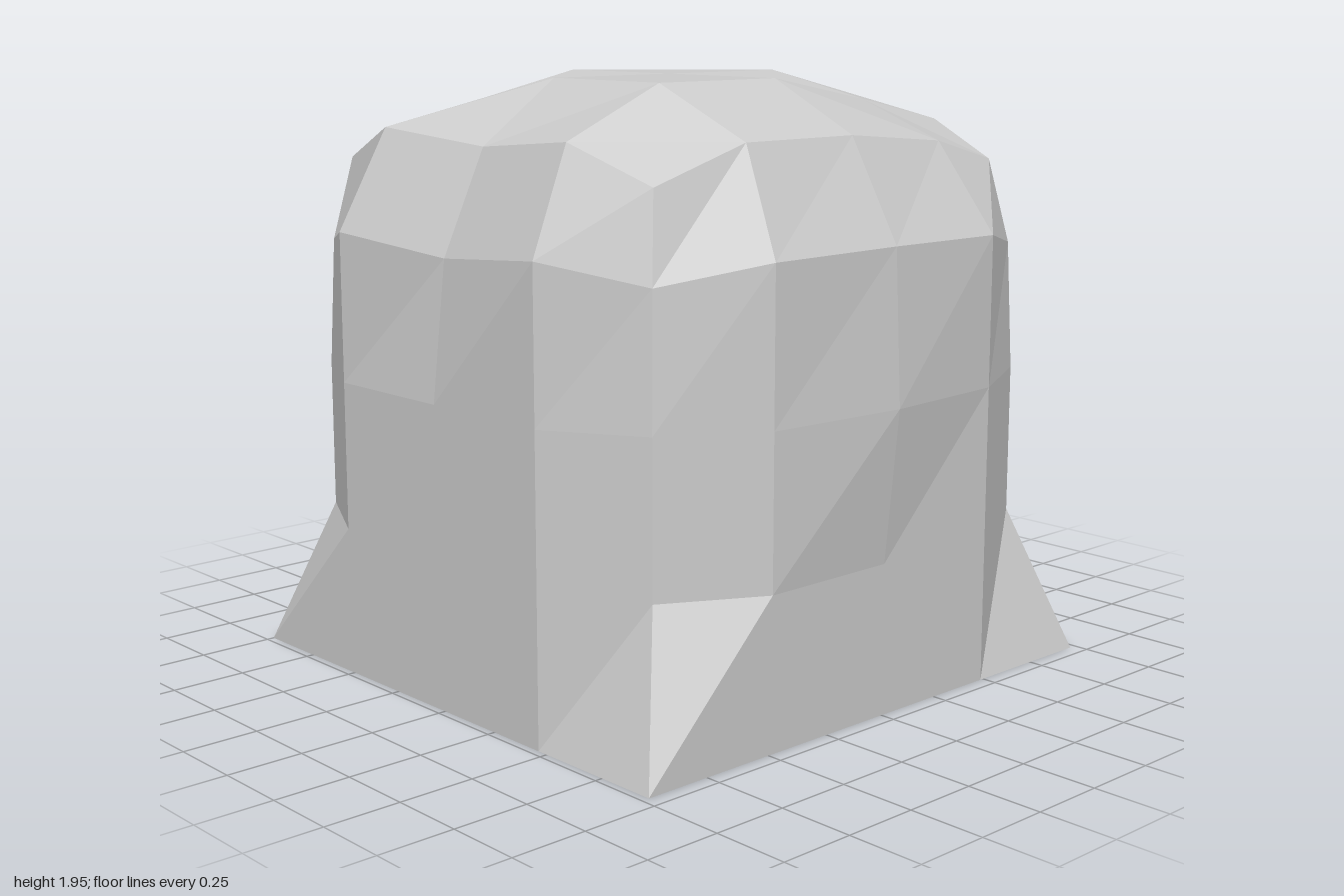
import * as THREE from 'three';

// Grid coordinates run from -2 to 2 on each axis of a 4 x 4 x 4 box.
const STEP = 0.4875;

// Vertical corner edges: inset and height for each level, bottom to top.
const cornerInset = [0.975, 0.81, 0.81, 0.795, 0.745];
const cornerHeight = [0, 0.49, 0.98, 1.4, 1.675];

// Individual dents and bulges of the hand-worn block, keyed by grid position.
const dents = {
  '0,2,2': [0, 1.75, 0.77],
  '2,2,-1': [0.775, 1.75, -0.45],
  '-2,2,1': [-0.775, 1.75, 0.44],
  '-1,2,-2': [-0.445, 1.75, -0.78],
  '-1,2,1': [-0.425, 1.87, 0.44],
  '1,2,-1': [0.445, 1.87, -0.45],
  '-1,2,-1': [-0.445, 1.88, -0.43],
  '0,1,2': [0, 1.42, 0.925],
  '0,1,-2': [0, 1.42, -0.94],
  '2,0,0': [1.025, 0.98, 0],
  '2,1,0': [1.0, 1.47, 0],
};

function shapePoint(i, j, k) {
  const dent = dents[[i, j, k].join(',')];
  if (dent) return dent;
  const sideX = Math.abs(i) === 2;
  const sideZ = Math.abs(k) === 2;
  // vertical corner edges and top corners
  if (sideX && sideZ) {
    const r = cornerInset[j + 2];
    return [Math.sign(i) * r, cornerHeight[j + 2], Math.sign(k) * r];
  }
  // bevelled top edges
  if (j === 2 && sideX) return [Math.sign(i) * 0.815, 1.79, k * 0.45];
  if (j === 2 && sideZ) return [i * 0.45, 1.79, Math.sign(k) * 0.815];
  return [i * STEP, (j + 2) * STEP, k * STEP];
}

export function createModel() {
  const group = new THREE.Group();
  group.name = 'roundedBlock';

  const box = new THREE.BoxGeometry(4, 4, 4, 4, 4, 4);
  const pos = box.attributes.position;
  for (let n = 0; n < pos.count; n++) {
    const [x, y, z] = shapePoint(
      Math.round(pos.getX(n)), Math.round(pos.getY(n)), Math.round(pos.getZ(n)));
    pos.setXYZ(n, x - 0.025, y, z);
  }
  const geometry = box.toNonIndexed();
  geometry.computeVertexNormals();

  const block = new THREE.Mesh(
    geometry, new THREE.MeshStandardMaterial({ color: 0xcccccc, flatShading: true }));
  block.name = 'block';
  group.add(block);
  return group;
}
